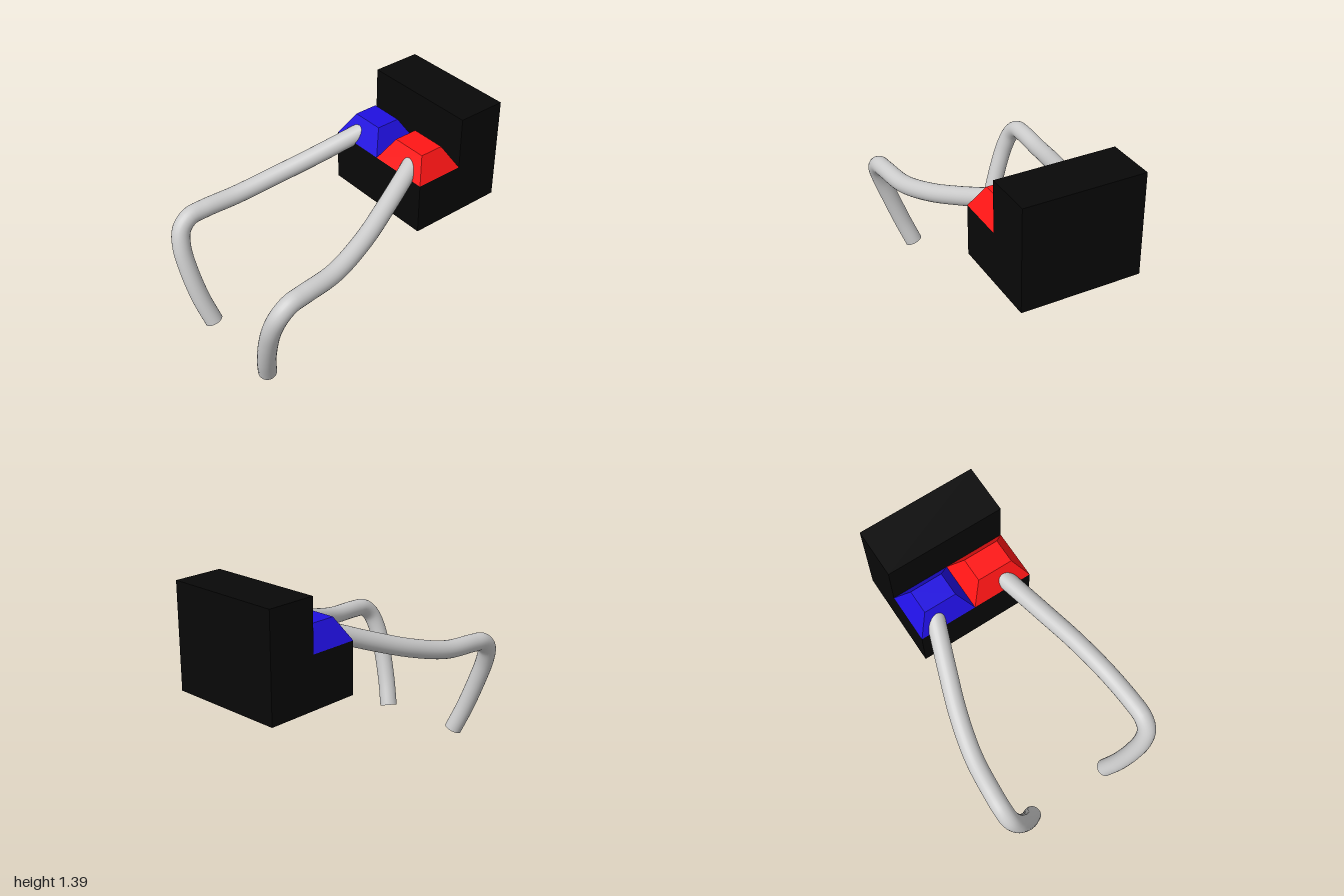
import * as THREE from 'three';

const material = (color, flat) => new THREE.MeshStandardMaterial({ color, flatShading: flat });
const RADIUS = 0.062;

// Centre line of a leg, from foot to body
const LEG = [
  [-0.86, 0.02, 0.31], [-0.905, 0.2, 0.375], [-0.935, 0.42, 0.45], [-0.937, 0.58, 0.505],
  [-0.905, 0.69, 0.54], [-0.83, 0.755, 0.55], [-0.72, 0.77, 0.546], [-0.47, 0.785, 0.522],
  [-0.19, 0.853, 0.457], [0.07, 0.942, 0.37], [0.32, 1.04, 0.28], [0.4, 1.073, 0.25],
];

function createLeg(side) {
  const leg = new THREE.Group();
  const grey = material(0xcccccc, false);
  const curve = new THREE.CatmullRomCurve3(LEG.map(([x, y, z]) => new THREE.Vector3(x, y, side * z)));
  const tube = new THREE.Mesh(new THREE.TubeGeometry(curve, 80, RADIUS, 24), grey);
  tube.name = 'legTube';
  leg.add(tube);

  // Flat caps on both ends
  for (const t of [0, 1]) {
    const cap = new THREE.Mesh(new THREE.CircleGeometry(RADIUS, 24), grey);
    const out = curve.getTangentAt(t).multiplyScalar(t ? 1 : -1);
    cap.position.copy(curve.getPointAt(t));
    cap.quaternion.setFromUnitVectors(new THREE.Vector3(0, 0, 1), out);
    cap.name = t ? 'legTopCap' : 'footCap';
    leg.add(cap);
  }
  return leg;
}

// Block whose top face is inset on all four sides
function createPad(width, height, depth, inset, color) {
  const geometry = new THREE.BoxGeometry(width, height, depth);
  const p = geometry.attributes.position;
  for (let i = 0; i < p.count; i++) {
    if (p.getY(i) > 0) {
      p.setX(i, p.getX(i) * (1 - (2 * inset) / width));
      p.setZ(i, p.getZ(i) * (1 - (2 * inset) / depth));
    }
  }
  geometry.computeVertexNormals();
  return new THREE.Mesh(geometry, material(color, true));
}

export function createModel() {
  const model = new THREE.Group();
  model.name = 'model';

  // L-shaped body: low front step and tall back
  const outline = [[0.31, 0.66], [1, 0.66], [1, 1.385], [0.655, 1.385], [0.655, 1.022], [0.31, 1.022]];
  const shape = new THREE.Shape(outline.map(([x, y]) => new THREE.Vector2(x, y)));
  const body = new THREE.Mesh(
    new THREE.ExtrudeGeometry(shape, { depth: 0.83, bevelEnabled: false }),
    material(0x080808, true)
  );
  body.position.z = -0.405;
  body.name = 'body';
  model.add(body);

  // Coloured pads side by side on the step
  const pads = [['redPad', 0xff1515, 0, 0.425], ['bluePad', 0x2010e0, -0.405, 0]];
  for (const [name, color, z0, z1] of pads) {
    const pad = createPad(0.345, 0.155, z1 - z0, 0.088, color);
    pad.position.set(0.4825, 1.0995, (z0 + z1) / 2);
    pad.name = name;
    model.add(pad);
  }

  // Mirrored pair of bent legs
  for (const side of [1, -1]) {
    const leg = createLeg(side);
    leg.name = side > 0 ? 'frontLeg' : 'backLeg';
    model.add(leg);
  }
  return model;
}
